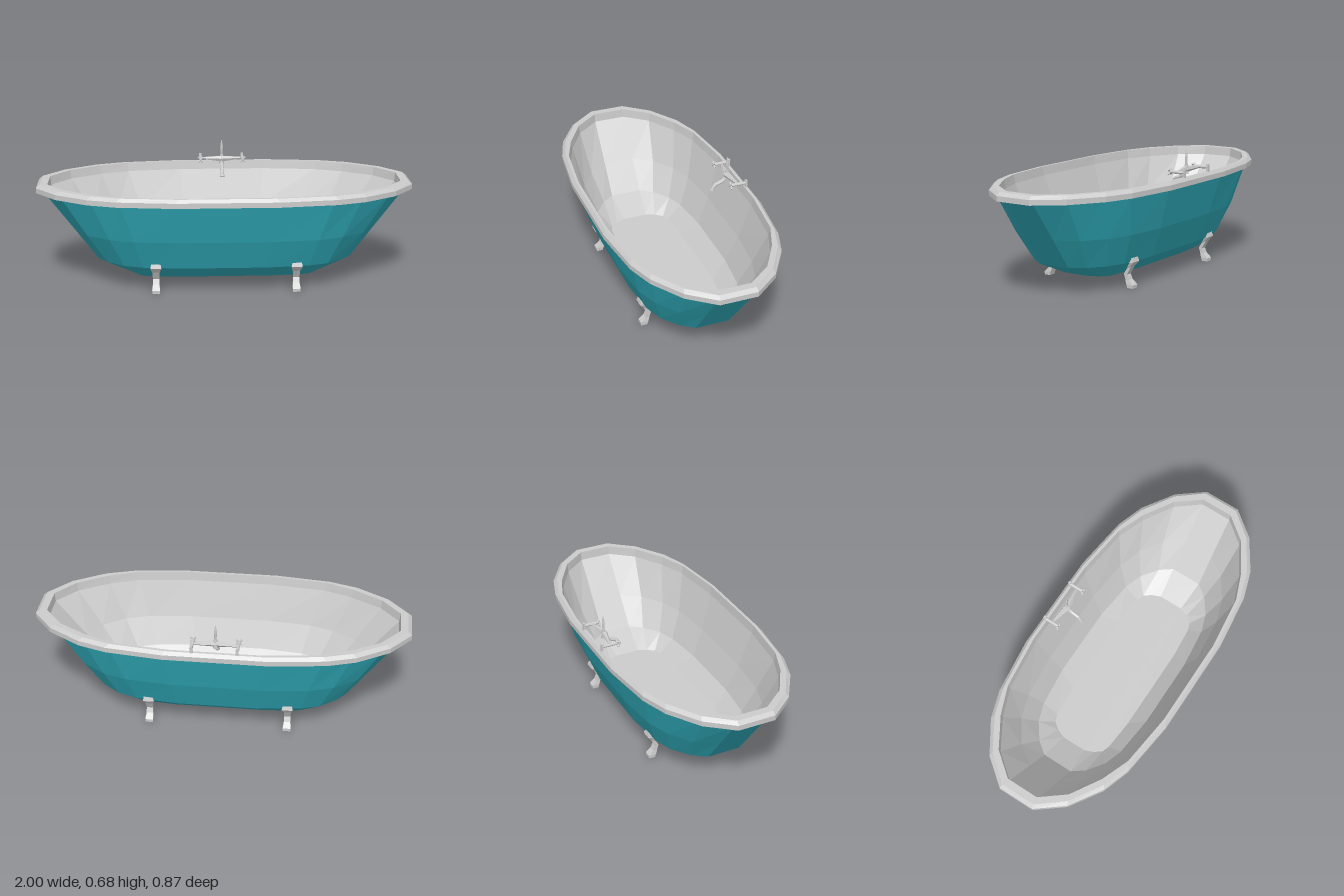
import * as THREE from 'three';

const grey = new THREE.MeshStandardMaterial({ color: 0xcccccc, flatShading: true });
const teal = new THREE.MeshStandardMaterial({ color: 0x2fa9b7, flatShading: true });

// Faceted skin through rings of equal point count, with optional end caps
function loft(rings, capStart, capEnd) {
  const pos = [];
  const tri = (...pts) => pts.forEach(p => pos.push(...p));
  const n = rings[0].length;
  for (let k = 0; k < rings.length - 1; k++) {
    const lo = rings[k], hi = rings[k + 1];
    for (let i = 0; i < n; i++) {
      const j = (i + 1) % n;
      tri(lo[i], hi[i], lo[j]);
      tri(lo[j], hi[i], hi[j]);
    }
  }
  const first = rings[0], last = rings[rings.length - 1];
  for (let i = 1; i < n - 1; i++) {
    if (capStart) tri(first[0], first[i], first[i + 1]);
    if (capEnd) tri(last[0], last[i + 1], last[i]);
  }
  const g = new THREE.BufferGeometry();
  g.setAttribute('position', new THREE.Float32BufferAttribute(pos, 3));
  g.computeVertexNormals();
  return g;
}

// Twenty-sided oval from one quadrant of [x, z] points
function oval(quadrant, y, dx = 0, dz = 0) {
  const q = quadrant.map(([x, z]) => [x - dx, z - dz * z / 0.42]);
  const flip = (sx, sz) => q.map(([x, z]) => [sx * x, y, sz * z]);
  return [...flip(1, 1), ...flip(-1, 1).reverse(), ...flip(-1, -1), ...flip(1, -1).reverse()];
}

function add(parent, name, geometry, material = grey) {
  const mesh = new THREE.Mesh(geometry, material);
  mesh.name = name;
  parent.add(mesh);
  return mesh;
}

// Tapered bar between two points
function rod(parent, name, a, b, r0, r1, sides = 8) {
  const from = new THREE.Vector3(...a), to = new THREE.Vector3(...b);
  const dir = to.clone().sub(from);
  const mesh = add(parent, name, new THREE.CylinderGeometry(r1, r0, dir.length(), sides));
  mesh.position.copy(from).add(to).multiplyScalar(0.5);
  mesh.quaternion.setFromUnitVectors(new THREE.Vector3(0, 1, 0), dir.normalize());
  return mesh;
}

export function createModel() {
  const model = new THREE.Group();
  model.name = 'bathtub';

  // Oval outlines from floor to rim
  const floor = [[0.5, 0.07], [0.48, 0.12], [0.45, 0.16], [0.41, 0.175], [0.24, 0.19]];
  const low = [[0.68, 0.09], [0.63, 0.16], [0.54, 0.23], [0.44, 0.265], [0.22, 0.29]];
  const mid = [[0.8, 0.09], [0.73, 0.2], [0.61, 0.285], [0.48, 0.33], [0.24, 0.355]];
  const top = [[0.96, 0.09], [0.86, 0.22], [0.7, 0.32], [0.55, 0.38], [0.26, 0.415]];
  const lip = [[1, 0.1], [0.89, 0.24], [0.72, 0.35], [0.57, 0.4], [0.27, 0.437]];

  // Painted outer shell
  add(model, 'outerShell',
    loft([oval(floor, 0.062), oval(low, 0.14), oval(mid, 0.3), oval(top, 0.51)], true, false), teal);

  // Rolled rim
  add(model, 'rim', loft([
    oval(top, 0.508, 0.02, 0.02), oval(lip, 0.508), oval(lip, 0.535),
    oval(lip, 0.552, 0.02, 0.014), oval(top, 0.552, 0.02, 0.008), oval(top, 0.5, 0.025, 0.015),
  ], false, false));

  // Grey basin inside
  add(model, 'basin', loft([
    oval(top, 0.505, 0.025, 0.015), oval(mid, 0.305, 0.025, 0.02),
    oval(low, 0.155, 0.025, 0.02), oval(floor, 0.08, 0, 0.01),
  ], false, true));

  // Four curved feet: outer z, outer y, inner z, inner y, width
  const footSections = [
    [0.283, 0, 0.249, 0, 0.04], [0.284, 0.017, 0.243, 0.02, 0.042],
    [0.258, 0.043, 0.235, 0.045, 0.034], [0.246, 0.07, 0.227, 0.073, 0.034],
    [0.27, 0.113, 0.244, 0.1, 0.036], [0.291, 0.14, 0.267, 0.135, 0.058],
    [0.284, 0.162, 0.268, 0.16, 0.05],
  ];
  for (const side of [1, -1]) for (const face of [1, -1]) {
    const rings = footSections.map(([zo, yo, zi, yi, w]) =>
      [[w / 2, yi, zi], [w / 2, yo, zo], [-w / 2, yo, zo], [-w / 2, yi, zi]]);
    const foot = add(model, 'foot', loft(rings, true, true));
    foot.position.x = side * 0.372;
    if (face < 0) foot.rotation.y = Math.PI;
  }

  // Tap set on the rear rim
  const tap = new THREE.Group();
  tap.name = 'tap';
  model.add(tap);
  for (const s of [1, -1]) {
    const x = s * 0.118;
    const post = add(tap, 'tapPost', new THREE.BoxGeometry(0.014, 0.045, 0.012));
    post.position.set(x, 0.568, -0.418);
    rod(tap, 'supplyPipe', [x, 0.575, -0.42], [x, 0.575, -0.335], 0.009, 0.009);
    rod(tap, 'bodyArm', [0, 0.575, -0.353], [x, 0.575, -0.372], 0.018, 0.005, 6);
    // Cross handle
    for (const a of [Math.PI / 4, -Math.PI / 4]) {
      const dx = 0.02 * Math.cos(a), dy = 0.02 * Math.sin(a);
      rod(tap, 'crossHandle', [x - dx, 0.575 - dy, -0.331], [x + dx, 0.575 + dy, -0.331], 0.005, 0.005, 6);
    }
    rod(tap, 'handleHub', [x, 0.575, -0.338], [x, 0.575, -0.325], 0.008, 0.004, 6);
  }
  rod(tap, 'tapBase', [0, 0.55, -0.357], [0, 0.6, -0.357], 0.014, 0.009);
  rod(tap, 'spikeLower', [0, 0.6, -0.357], [0, 0.64, -0.357], 0.006, 0.008);
  rod(tap, 'spikeUpper', [0, 0.64, -0.357], [0, 0.68, -0.357], 0.008, 0.002);

  // Spout curving down into the basin
  const spoutPath = new THREE.CatmullRomCurve3([
    [0, 0.57, -0.357], [0, 0.545, -0.342], [0, 0.53, -0.315], [0, 0.52, -0.288], [0, 0.497, -0.274],
  ].map(p => new THREE.Vector3(...p)));
  add(tap, 'spout', new THREE.TubeGeometry(spoutPath, 8, 0.01, 8));
  rod(tap, 'spoutTip', [0, 0.502, -0.276], [0, 0.49, -0.271], 0.012, 0.013);

  return model;
}
